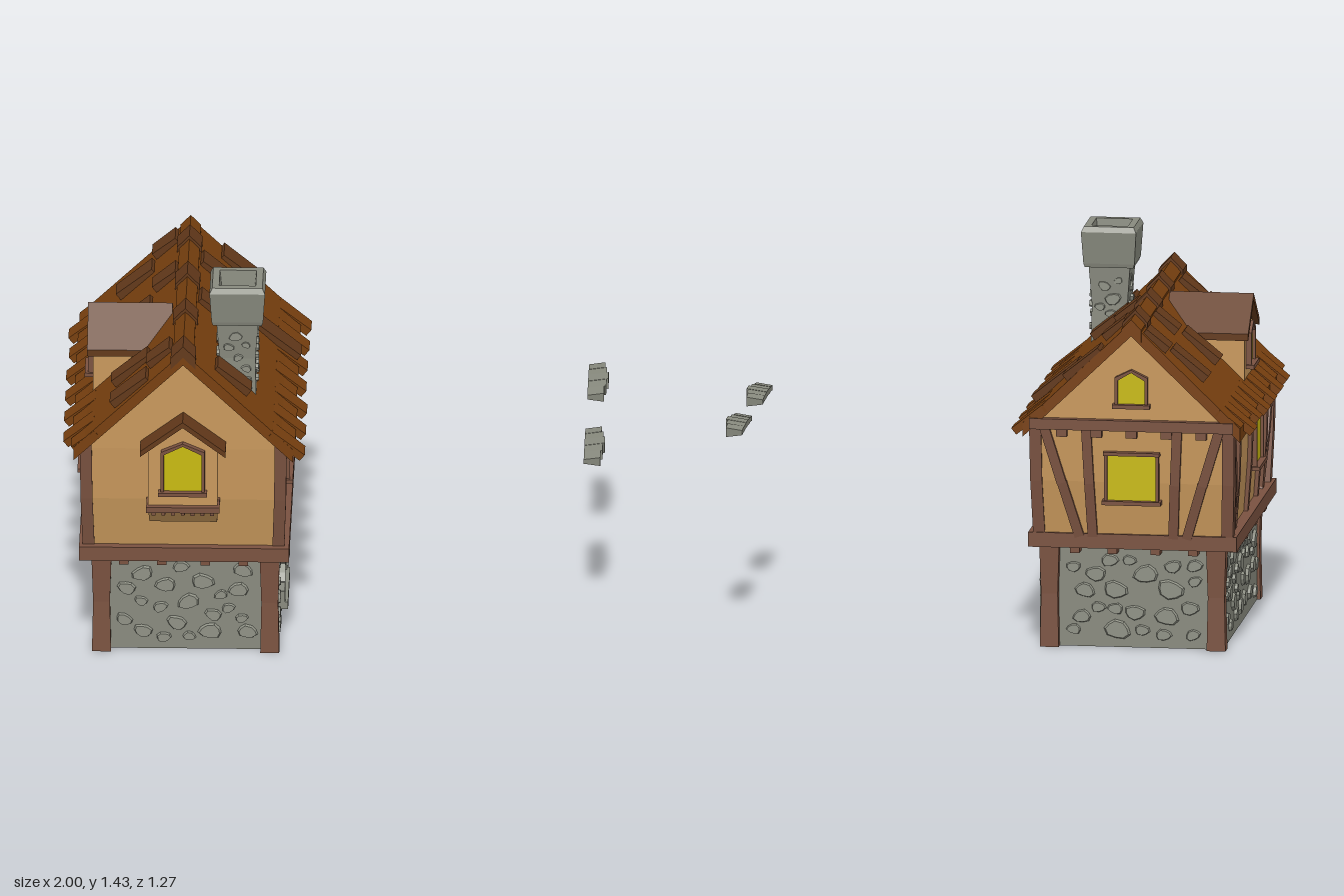
import * as THREE from 'three';
import { mergeGeometries } from 'three/addons/utils/BufferGeometryUtils.js';

const mat = (color) => new THREE.MeshStandardMaterial({ color, flatShading: true });
const STONE = mat(0x888a7e), PEBBLE = mat(0x8f9185), TIMBER = mat(0x7a5240), PLASTER = mat(0xc8985c);
const GLASS = mat(0xc8ba10), ROOF = mat(0x78400f), TILE = mat(0x63391a), DARK = mat(0x0c0c0c), GROOVE = mat(0x3e2a20);
const CX = -0.55; // centre line of the house
const V = (x, y, z) => new THREE.Vector3(x, y, z);
let seed = 7;
const rnd = () => (seed = (seed * 16807) % 2147483647) / 2147483647;

function add(parent, name, geo, m, x = 0, y = 0, z = 0) {
  const mesh = new THREE.Mesh(geo, m);
  mesh.name = name;
  mesh.position.set(x, y, z);
  parent.add(mesh);
  return mesh;
}
const box = (p, name, m, w, h, d, x, y, z) => add(p, name, new THREE.BoxGeometry(w, h, d), m, x, y, z);

// Stack of rectangular rings [cx, y, cz, width, depth], closed at both ends
function loft(p, name, m, rings) {
  const pos = [], idx = [];
  for (const [x, y, z, w, d] of rings)
    for (const [a, b] of [[-1, 1], [1, 1], [1, -1], [-1, -1]]) pos.push(x + a * w / 2, y, z + b * d / 2);
  for (let r = 0; r < rings.length - 1; r++)
    for (let i = 0; i < 4; i++) {
      const a = r * 4 + i, b = r * 4 + (i + 1) % 4;
      idx.push(a, b, b + 4, a, b + 4, a + 4);
    }
  const t = rings.length * 4 - 4;
  idx.push(0, 2, 1, 0, 3, 2, t, t + 1, t + 2, t, t + 2, t + 3);
  const g = new THREE.BufferGeometry();
  g.setAttribute('position', new THREE.Float32BufferAttribute(pos, 3));
  g.setIndex(idx);
  const flat = g.toNonIndexed();
  flat.computeVertexNormals();
  return add(p, name, flat, m);
}

// Squared timber between two points
function bar(p, name, a, b, w, t, m = TIMBER) {
  const dir = b.clone().sub(a), Y = dir.clone().normalize();
  const X = Y.clone().cross(V(0, 0, 1)).normalize(), Z = X.clone().cross(Y);
  const mid = a.clone().add(b).multiplyScalar(0.5);
  const mesh = box(p, name, m, w, dir.length(), t, mid.x, mid.y, mid.z);
  mesh.quaternion.setFromRotationMatrix(new THREE.Matrix4().makeBasis(X, Y, Z));
}

const poly = (pts) => new THREE.Shape(pts.map(([x, y]) => new THREE.Vector2(x, y)));
function extrude(p, name, m, shape, z0, z1) {
  const g = new THREE.ExtrudeGeometry(shape, { depth: z1 - z0, bevelEnabled: false, curveSegments: 10 });
  return add(p, name, g, m, 0, 0, z0);
}
// Inverted V with vertical thickness t
const chevron = (half, apex, eave, t) =>
  poly([[-half, eave], [-half, eave - t], [0, apex - t], [half, eave - t], [half, eave], [0, apex]]);

// Group whose local +z looks out of one wall
function side(root, name, turn) {
  const g = new THREE.Group();
  g.name = name;
  g.position.x = CX;
  g.rotation.y = turn;
  root.add(g);
  return g;
}

// Glazed window with frame, lintel and sill; peak > 0 gives a pointed head
function windowUnit(p, u, y, w, h, d, peak = 0) {
  const g = new THREE.Group();
  g.name = 'window';
  g.position.set(u, y, d);
  p.add(g);
  const outline = (e) => {
    const x = w / 2 + e, pts = [[-x, -h / 2 - e], [x, -h / 2 - e], [x, h / 2 + e]];
    if (peak) pts.push([0, h / 2 + peak + e]);
    return poly([...pts, [-x, h / 2 + e]]);
  };
  const frame = outline(0.011);
  frame.holes.push(outline(0));
  extrude(g, 'windowFrame', TIMBER, frame, -0.03, 0.018);
  extrude(g, 'glass', GLASS, outline(0.001), -0.03, 0.006);
  box(g, 'windowSill', TIMBER, w + 0.04, 0.015, 0.05, 0, -h / 2 - 0.007, 0.004);
  if (!peak) box(g, 'windowLintel', TIMBER, w + 0.03, 0.013, 0.045, 0, h / 2 + 0.007, 0.002);
}

// Irregular flat stones scattered over a wall rectangle
function cobbles(p, u0, u1, y0, y1, d, r, tries, blocked = () => false) {
  const placed = [], geos = [];
  for (let i = 0; i < tries; i++) {
    const s = r * (0.55 + 0.6 * rnd()), u = u0 + s + (u1 - u0 - 2 * s) * rnd(), y = y0 + s + (y1 - y0 - 2 * s) * rnd();
    if (blocked(u, y, s) || placed.some(q => Math.hypot(q[0] - u, (q[1] - y) * 1.25) < (q[2] + s) * 0.98)) continue;
    placed.push([u, y, s]);
    const g = new THREE.CylinderGeometry(0.82, 1, 0.014, 9).rotateX(Math.PI / 2), a = g.attributes.position;
    const k = rnd() * 6, tilt = (rnd() - 0.5) * 0.9;
    for (let j = 0; j < a.count; j++) {
      const f = s * (0.93 + 0.09 * Math.sin(3 * Math.atan2(a.getY(j), a.getX(j)) + k));
      a.setXY(j, a.getX(j) * f, a.getY(j) * f * 0.72);
    }
    geos.push(g.rotateZ(tilt).translate(u, y, d + 0.004));
  }
  add(p, 'wallStones', mergeGeometries(geos), PEBBLE);
}

// Arched panel with a ring of stones around it
function arch(p, name, m, u, y0, half, spring, rise, d, n) {
  const s = new THREE.Shape();
  s.moveTo(u - half, y0);
  s.lineTo(u + half, y0);
  s.lineTo(u + half, spring);
  s.absellipse(u, spring, half, rise, 0, Math.PI, false);
  extrude(p, name, m, s, d - 0.02, d + 0.008);
  const stone = (x, y, len, rot) => {
    box(p, 'archStone', STONE, 0.026 + 0.006 * rnd(), len, 0.045, x, y, d + 0.002).rotation.z = rot;
  };
  for (let i = 0; i < n; i++) {
    const a = Math.PI * (i + 0.5) / n, c = Math.cos(a), q = Math.sin(a);
    const len = Math.PI / n * Math.hypot(half * q, rise * c) * 1.08 + 0.004;
    stone(u + (half + 0.011) * c, spring + (rise + 0.011) * q, len, Math.atan2(q / rise, c / half));
  }
  const rows = Math.max(1, Math.round((spring - y0) / 0.05)), h = (spring - y0) / rows;
  for (let i = 0; i < rows; i++) for (const k of [-1, 1]) stone(u + k * (half + 0.011), y0 + h * (i + 0.5), h * 0.94, 0);
}

// Small gabled projection: plaster body and roof
function gablet(p, u, half, y0, eave, apex, z0, z1, roof) {
  const g = new THREE.Group();
  g.name = 'gablet';
  g.position.x = u;
  p.add(g);
  extrude(g, 'gabletWall', PLASTER, poly([[-half, y0], [half, y0], [half, eave], [0, apex], [-half, eave]]), z0, z1);
  extrude(g, 'gabletRoof', TILE, chevron(roof.half, roof.apex, roof.eave, roof.t), z0, roof.z);
  return g;
}

export function createModel() {
  const root = new THREE.Group();
  root.name = 'timberHouse';
  const front = side(root, 'frontSide', 0), right = side(root, 'rightSide', Math.PI / 2);
  const back = side(root, 'backSide', Math.PI), left = side(root, 'leftSide', -Math.PI / 2);

  // Stone ground floor with corner posts
  box(root, 'stoneBase', STONE, 0.67, 0.39, 0.95, -0.54, 0.195, -0.025);
  for (const x of [-0.853, -0.232]) for (const z of [0.455, -0.505])
    loft(root, 'lowerPost', TIMBER, [[x, 0, z, 0.07, 0.058], [x, 0.2, z, 0.062, 0.048], [x, 0.39, z, 0.074, 0.062]]);
  cobbles(front, -0.26, 0.28, 0.01, 0.37, 0.45, 0.05, 500);
  cobbles(back, -0.28, 0.26, 0.01, 0.37, 0.5, 0.05, 500);
  cobbles(left, -0.47, 0.42, 0.01, 0.37, 0.325, 0.05, 800);
  cobbles(right, -0.42, 0.47, 0.01, 0.36, 0.345, 0.045, 900, (u, y, s) =>
    Math.abs(u - 0.28) < 0.115 + s || (Math.abs(u + 0.172) < 0.155 + s && y > 0.1 - s && y < 0.3 + s));

  // Door and hearth opening
  arch(right, 'door', TIMBER, 0.28, 0, 0.093, 0.22, 0.1, 0.347, 9);
  for (const u of [-0.045, 0, 0.045]) box(right, 'plankGap', GROOVE, 0.006, 0.29, 0.006, 0.28 + u, 0.15, 0.355);
  add(right, 'doorKnob', new THREE.SphereGeometry(0.014, 10, 8), DARK, 0.215, 0.15, 0.362);
  arch(right, 'hearthOpening', DARK, -0.172, 0.135, 0.13, 0.18, 0.088, 0.347, 11);
  for (const k of [-1, 1]) box(right, 'hearthSill', STONE, 0.152, 0.03, 0.06, -0.172 + k * 0.077, 0.12, 0.352);

  // Floor beam and joist ends
  box(root, 'floorBeam', TIMBER, 0.775, 0.055, 1.1, -0.5475, 0.4125, -0.03);
  for (const u of [-0.34, -0.09, 0.16, 0.41]) {
    box(right, 'joistEnd', TIMBER, 0.055, 0.03, 0.06, u, 0.37, 0.352);
    box(left, 'joistEnd', TIMBER, 0.055, 0.03, 0.06, -u, 0.37, 0.34);
  }
  for (const u of [-0.22, -0.08, 0.08, 0.22]) {
    box(front, 'joistEnd', TIMBER, 0.035, 0.025, 0.06, u, 0.373, 0.47);
    box(back, 'joistEnd', TIMBER, 0.035, 0.025, 0.06, u, 0.373, 0.525);
  }

  // Flared plaster storey and gables
  loft(root, 'upperWall', PLASTER, [[CX, 0.43, -0.04, 0.69, 1.054], [CX, 0.64, -0.0375, 0.72, 1.119], [CX, 0.87, -0.0375, 0.73, 1.145]]);
  extrude(front, 'gableWall', PLASTER, poly([[-0.365, 0.85], [0.365, 0.85], [0, 1.215]]), -0.61, 0.535);
  for (const k of [-1, 1]) for (const [a, b, c] of [[0.468, 0.502, 0.522], [-0.55, -0.58, -0.594]])
    loft(root, 'upperPost', TIMBER, [[CX + k * 0.35, 0.43, a, 0.044, 0.05], [CX + k * 0.357, 0.64, b, 0.044, 0.05],
      [CX + k * 0.36, 0.87, c, 0.044, 0.05]]);

  // Timbers follow the flare of the wall: d = distances at y 0.44, 0.64, 0.86
  const stud = (p, d, u0, u1, y1 = 0.86) => {
    const um = u0 + (u1 - u0) * 0.476;
    bar(p, 'stud', V(u0, 0.43, d[0]), V(um, 0.64, d[1]), 0.036, 0.03);
    bar(p, 'stud', V(um, 0.635, d[1]), V(u1, y1, d[2]), 0.036, 0.03);
  };
  const dSide = [0.345, 0.36, 0.365], dBack = [0.567, 0.597, 0.61];
  for (const u of [-0.32, -0.057, 0.392]) stud(right, dSide, u, u);
  for (const u of [-0.4, -0.07, 0.2, 0.34]) stud(left, dSide, u, u);
  for (const p of [right, left]) {
    const f = p === right ? 1 : -1;
    stud(p, dSide, f * -0.335, f * -0.495);
    stud(p, dSide, f * 0.41, f * 0.565);
  }
  for (const k of [-1, 1]) {
    stud(back, dBack, k * 0.15, k * 0.17);
    stud(back, dBack, k * 0.2, k * 0.33);
  }
  box(back, 'gableBeam', TIMBER, 0.76, 0.04, 0.045, 0, 0.86, 0.615);
  for (let i = -2; i <= 2; i++) box(back, 'gableJoist', TIMBER, 0.04, 0.03, 0.04, i * 0.13, 0.828, 0.612);

  // Windows
  windowUnit(right, -0.187, 0.7, 0.172, 0.168, 0.37);
  windowUnit(right, 0.265, 0.7, 0.165, 0.168, 0.37);
  windowUnit(left, 0.065, 0.69, 0.17, 0.19, 0.37);
  windowUnit(back, 0, 0.66, 0.18, 0.17, 0.607);
  windowUnit(back, 0, 0.985, 0.1, 0.09, 0.613, 0.03);

  // Front bay on a sloping bracket
  const bay = gablet(front, 0, 0.128, 0.625, 0.865, 0.965, 0.5, 0.592, { half: 0.158, apex: 1.0, eave: 0.88, t: 0.022, z: 0.63 });
  loft(bay, 'bayBracket', PLASTER, [[0, 0.55, 0.505, 0.25, 0.04], [0, 0.628, 0.54, 0.256, 0.1]]);
  box(bay, 'baySill', TIMBER, 0.27, 0.022, 0.11, 0, 0.636, 0.56);
  for (let i = -3; i <= 3; i++) box(bay, 'bayDentil', TIMBER, 0.014, 0.02, 0.03, i * 0.036, 0.616, 0.58);
  windowUnit(bay, 0, 0.785, 0.14, 0.15, 0.597, 0.035);

  // Left dormer
  const dormer = gablet(left, 0.07, 0.115, 0.9, 1.1, 1.195, 0.05, 0.342, { half: 0.155, apex: 1.228, eave: 1.105, t: 0.026, z: 0.362 });
  windowUnit(dormer, 0, 1.025, 0.1, 0.11, 0.344, 0.035);

  // Main roof with ridge caps
  extrude(front, 'roof', ROOF, chevron(0.405, 1.25, 0.86, 0.052), -0.63, 0.555);
  const ridge = [0.557, 0.455, 0.22, 0.125, 0.02, -0.09, -0.2, -0.31, -0.42, -0.52, -0.632];
  ridge.slice(1).forEach((z, i) => {
    const high = [0, 2, 5, 8].includes(i);
    extrude(front, 'ridgeCap', high ? TILE : ROOF, chevron(high ? 0.046 : 0.038, high ? 1.275 : 1.261, high ? 1.227 : 1.222, 0.045), z, ridge[i]);
  });

  // Roof slopes: local x runs down the slope, tile lists are [start, end, centre z, width]
  const pitch = Math.atan2(0.39, 0.405);
  const tiles = {
    right: [[0.16, 0.32, 0.41, 0.1], [0.16, 0.33, 0.175, 0.095], [0.06, 0.17, -0.035, 0.105], [0.06, 0.17, -0.36, 0.105],
      [0.16, 0.33, -0.575, 0.11], [0.33, 0.55, -0.25, 0.11]],
    left: [[0.18, 0.35, -0.47, 0.1], [0.18, 0.35, -0.15, 0.1], [0.18, 0.35, 0.3, 0.09], [0.18, 0.35, 0.48, 0.1],
      [0.06, 0.17, -0.56, 0.1], [0.05, 0.16, -0.255, 0.1], [0.06, 0.17, 0.4, 0.1]],
  };
  for (const key of ['right', 'left']) {
    const flip = key === 'right' ? 1 : -1, turn = side(root, key + 'Slope', flip > 0 ? 0 : Math.PI);
    const slope = new THREE.Group();
    slope.name = 'roofTiles';
    slope.position.y = 1.25;
    slope.rotation.z = -pitch;
    turn.add(slope);
    const tile = (name, m, s0, s1, z, w, lift) => {
      const g = new THREE.BoxGeometry(s1 - s0, 0.03, w), a = g.attributes.position;
      for (let i = 0; i < a.count; i++) if (a.getX(i) > 0) a.setZ(i, a.getZ(i) * 0.86);
      add(slope, name, g, m, (s0 + s1) / 2, lift, z * flip).rotation.z = 0.09;
    };
    for (const [a, b, z, w] of tiles[key]) tile('raisedTile', TILE, a, b, z, w, 0.008);
    for (let i = 0; i < 13; i++) {
      const long = (i + (flip > 0 ? 0 : 1)) % 2 === 0;
      tile('eaveTile', ROOF, 0.46, (long ? 0.6 : 0.562) + 0.012 * rnd(), -0.584 + i * 0.0912, 0.093, long ? -0.008 : -0.014);
    }
  }

  // Chimney with hollow cap
  const cx = -0.354, cz = 0.293;
  loft(root, 'chimneyShaft', STONE, [[cx, 0.98, cz, 0.138, 0.145], [cx, 1.14, cz, 0.132, 0.135], [cx, 1.29, cz, 0.155, 0.155]]);
  loft(root, 'chimneyCap', STONE, [[cx, 1.28, cz, 0.18, 0.17], [cx, 1.295, cz, 0.19, 0.178], [cx, 1.415, cz, 0.205, 0.205],
    [cx, 1.435, cz, 0.185, 0.185], [cx, 1.435, cz, 0.135, 0.135], [cx, 1.34, cz, 0.115, 0.115]]);
  for (let i = 0; i < 4; i++) {
    const face = side(root, 'chimneyFace', i * Math.PI / 2);
    face.position.set(cx, 0, cz);
    cobbles(face, -0.06, 0.06, 1.0, 1.27, 0.067, 0.032, 200);
  }

  // Two detached stone lintels
  for (const z of [0.268, -0.297]) for (let i = -2; i <= 2; i++) {
    const len = 0.075 - 0.007 * Math.abs(i), g = new THREE.BoxGeometry(len, 0.042 - 0.003 * Math.abs(i), 0.056), a = g.attributes.position;
    for (let j = 0; j < a.count; j++) if (a.getX(j) < 0) a.setY(j, a.getY(j) * 0.5);
    add(root, 'lintelStone', g, STONE, 0.925 + len / 2, 0.76 - 0.002 * Math.abs(i), z + i * 0.0535).rotation.x = i * 0.05;
  }
  return root;
}
